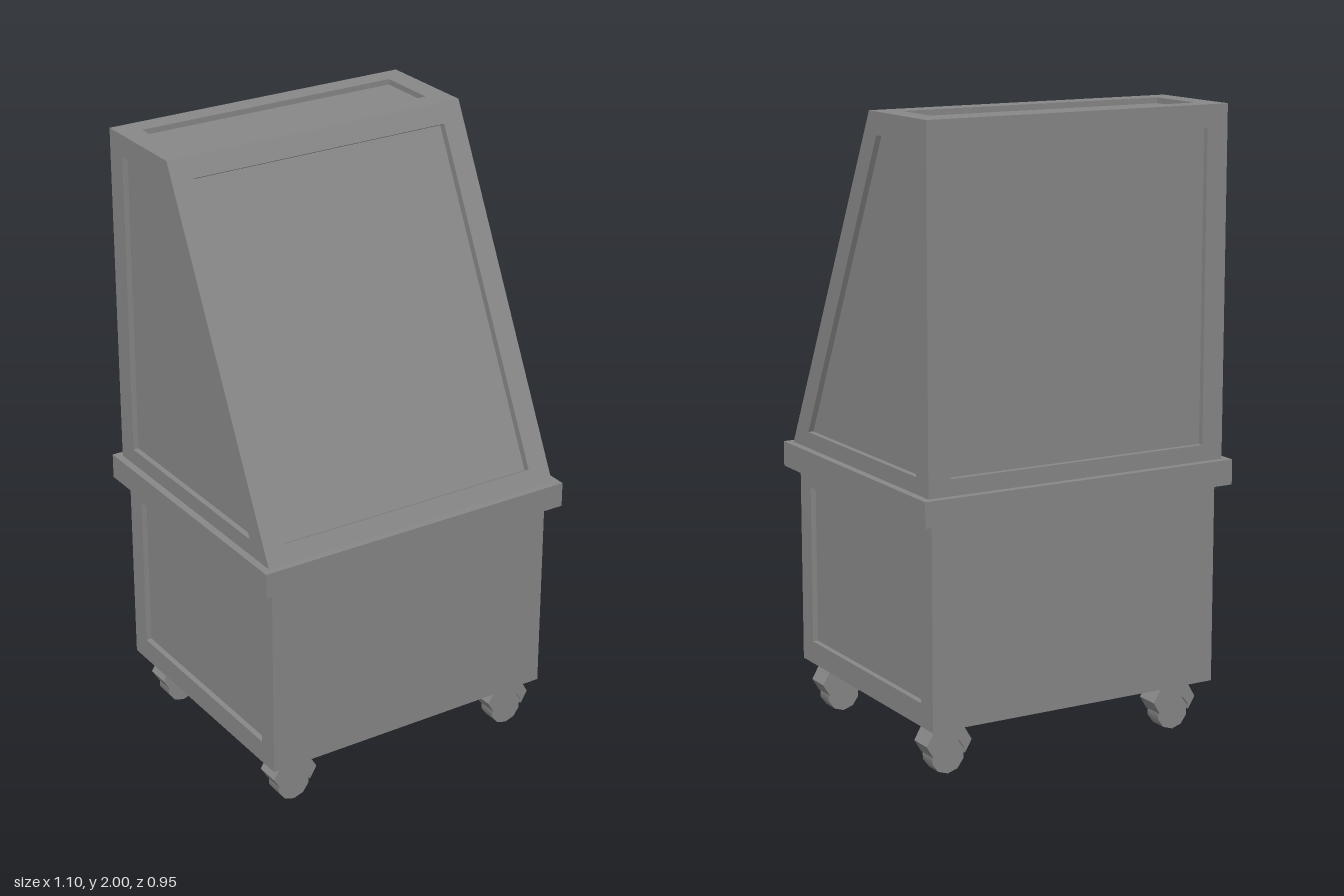
import * as THREE from 'three';
import { mergeGeometries } from 'three/addons/utils/BufferGeometryUtils.js';

const COLOR = 0x888888;
const flatGrey = new THREE.MeshStandardMaterial({ color: COLOR, flatShading: true });
const smoothGrey = new THREE.MeshStandardMaterial({ color: COLOR });

const rect = (x0, y0, x1, y1) => [[x0, y0], [x1, y0], [x1, y1], [x0, y1]];
const toVectors = (pts) => {
  const v = pts.map(([x, y]) => new THREE.Vector2(x, y));
  return THREE.ShapeUtils.area(v) < 0 ? v.reverse() : v; // always counter-clockwise
};

// Flat face looking along +z; an optional inner outline is sunk to form a panel
function panelFace(outline, inner, depth = 0.018) {
  const shape = new THREE.Shape(toVectors(outline));
  if (!inner) return new THREE.ShapeGeometry(shape);
  const hole = toVectors(inner);
  shape.holes.push(new THREE.Path(hole));
  const floor = new THREE.ShapeGeometry(new THREE.Shape(hole)).translate(0, 0, -depth);
  const pos = [];
  hole.forEach((a, i) => {
    const b = hole[(i + 1) % hole.length];
    pos.push(a.x, a.y, 0, b.x, b.y, 0, b.x, b.y, -depth);
    pos.push(a.x, a.y, 0, b.x, b.y, -depth, a.x, a.y, -depth);
  });
  const walls = new THREE.BufferGeometry();
  walls.setAttribute('position', new THREE.Float32BufferAttribute(pos, 3));
  const parts = [new THREE.ShapeGeometry(shape).toNonIndexed(), floor.toNonIndexed(), walls];
  parts.forEach((g) => { g.deleteAttribute('uv'); g.computeVertexNormals(); });
  return mergeGeometries(parts);
}

function add(group, name, geometry, x = 0, y = 0, z = 0, rx = 0, ry = 0, material = flatGrey) {
  const mesh = new THREE.Mesh(geometry, material);
  mesh.name = name;
  mesh.position.set(x, y, z);
  mesh.rotation.set(rx, ry, 0);
  group.add(mesh);
}

// Matching pair of side faces, outlines given as [z, y]
function addSides(group, name, halfWidth, outline, inner) {
  const flip = (pts) => pts.map(([z, y]) => [-z, y]);
  add(group, name + 'Left', panelFace(flip(outline), flip(inner)), halfWidth, 0, 0, 0, Math.PI / 2);
  add(group, name + 'Right', panelFace(outline, inner), -halfWidth, 0, 0, 0, -Math.PI / 2);
}

function makeHood() {
  const hood = new THREE.Group();
  hood.name = 'slopedHood';
  const w = 0.524, pw = 0.45, y0 = 0.88, back = -0.45, frontTop = -0.1, frontLow = 0.455;
  const rise = 2 - y0, run = frontLow - frontTop;
  const slope = Math.hypot(rise, run);
  const up = (y) => ((y - y0) / rise) * slope; // height to distance along the slope

  addSides(hood, 'hoodSide', w,
    [[back, y0], [frontLow, y0], [frontTop, 2], [back, 2]],
    [[-0.375, 0.942], [0.342, 0.942], [-0.145, 1.93], [-0.375, 1.93]]);
  add(hood, 'slopedFront',
    panelFace(rect(-w, 0, w, slope), rect(-pw, up(0.942), pw, up(1.94)), 0.024),
    0, y0, frontLow, -Math.atan2(run, rise));
  add(hood, 'hoodBack',
    panelFace(rect(-w, y0, w, 2), rect(-pw, 0.942, pw, 1.93)), 0, 0, back, 0, Math.PI);
  add(hood, 'hoodTop',
    panelFace(rect(-w, -frontTop, w, -back), rect(-pw, 0.173, pw, 0.38)),
    0, 2, 0, -Math.PI / 2);
  return hood;
}

function makeCabinet() {
  const cabinet = new THREE.Group();
  cabinet.name = 'baseCabinet';
  const w = 0.507, d = 0.438, y0 = 0.163, y1 = 0.83;
  addSides(cabinet, 'cabinetSide', w, rect(-d, y0, d, y1), rect(-0.366, 0.237, 0.367, 0.752));
  add(cabinet, 'cabinetFront', panelFace(rect(-w, y0, w, y1)), 0, 0, d);
  add(cabinet, 'cabinetBack', panelFace(rect(-w, y0, w, y1)), 0, 0, -d, 0, Math.PI);
  add(cabinet, 'cabinetBottom', panelFace(rect(-w, -d, w, d)), 0, y0, 0, Math.PI / 2);
  return cabinet;
}

function makeCaster() {
  const caster = new THREE.Group();
  caster.name = 'caster';
  const r = 0.057, sides = 10, width = 0.08;
  // Angular housing with an arch that fits over the wheel
  const pts = [[-0.054, 0.06], [-0.078, 0.1], [-0.04, 0.165], [0.04, 0.165], [0.078, 0.1], [0.054, 0.06]];
  for (let i = 0; i < sides / 2; i++) {
    const a = ((i + 0.5) / sides) * Math.PI * 2;
    pts.push([Math.cos(a) * r, r + Math.sin(a) * r]);
  }
  const housing = new THREE.ExtrudeGeometry(new THREE.Shape(toVectors(pts)),
    { depth: width, bevelEnabled: false }).translate(0, 0, -width / 2);
  add(caster, 'casterHousing', housing);
  const wheel = new THREE.CylinderGeometry(r, r, 0.06, sides).rotateX(Math.PI / 2);
  add(caster, 'casterWheel', wheel, 0, r, 0, 0, 0, smoothGrey);
  return caster;
}

export function createModel() {
  const model = new THREE.Group();
  model.name = 'rollingCabinet';
  model.add(makeHood(), makeCabinet());

  // Ledge between hood and cabinet
  add(model, 'ledge', new THREE.BoxGeometry(1.096, 0.081, 0.948), 0, 0.849, 0);

  for (const x of [-0.404, 0.42]) {
    for (const z of [-0.343, 0.356]) {
      const caster = makeCaster();
      caster.position.set(x, 0, z);
      model.add(caster);
    }
  }
  return model;
}
